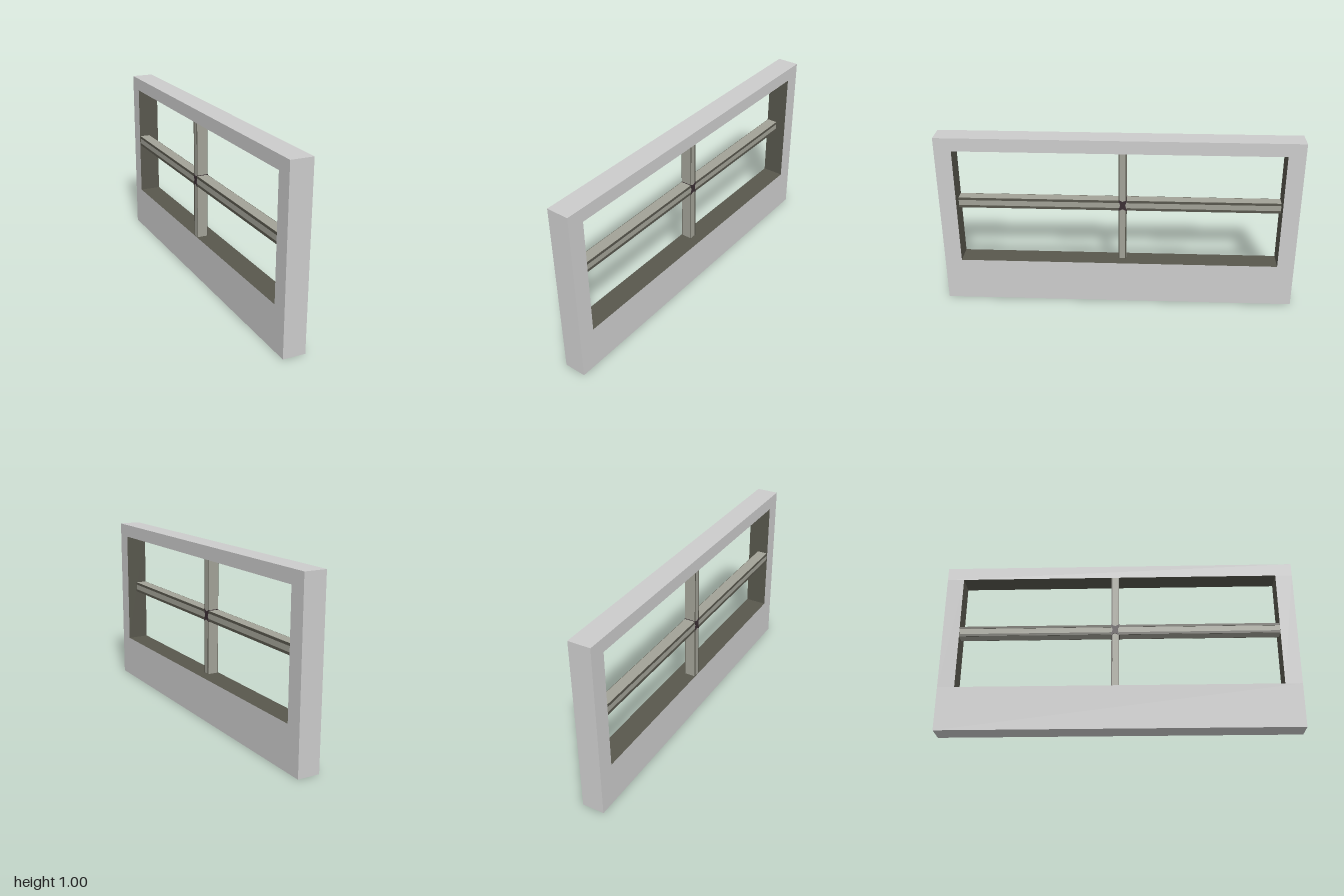
import * as THREE from 'three';

const mat = (name, color) => new THREE.MeshStandardMaterial({ name, color });

export function createModel() {
  const plaster = mat('pale grey wall', 0xcccccc);
  const reveal = mat('dark olive reveal', 0x58574d);
  const barPaint = mat('warm grey bar', 0xa2a297);
  const jointPaint = mat('dark joint', 0x3a2e33);
  const group = new THREE.Group();
  group.name = 'windowWall';

  // Box given by its limits; faces are ordered +x -x +y -y +z -z
  const box = (name, [x0, x1], [y0, y1], [z0, z1], material) => {
    const mesh = new THREE.Mesh(new THREE.BoxGeometry(x1 - x0, y1 - y0, z1 - z0), material);
    mesh.position.set((x0 + x1) / 2, (y0 + y1) / 2, (z0 + z1) / 2);
    mesh.name = name;
    group.add(mesh);
  };
  const faces = (dark) => Array.from({ length: 6 }, (_, i) => (i === dark ? reveal : plaster));

  // Wall around the opening, with the inward faces in the dark reveal colour
  const T = [-0.0625, 0.0625], low = 0.25, high = 0.925, half = 0.905;
  box('sillWall', T, [0, low], [-1, 1], faces(2));
  box('lintel', T, [high, 1], [-1, 1], faces(3));
  box('frontJamb', T, [low, high], [half, 1], faces(5));
  box('backJamb', T, [low, high], [-1, -half], faces(4));

  // Glazing bars, set towards the -x side of the opening
  const X = [-0.058, 0.002], barY = [0.56, 0.62], barZ = [-0.043, 0];
  box('verticalBar', X, [low, high], barZ, barPaint);
  box('horizontalBarFront', X, barY, [barZ[1], half], barPaint);
  box('horizontalBarBack', X, barY, [-half, barZ[0]], barPaint);

  // Thin dark rebates along the bar edges, on both faces
  for (const strip of [[X[1], X[1] + 0.002], [X[0] - 0.002, X[0]]]) {
    for (const y of [[0.56, 0.574], [0.606, 0.62]]) {
      box('horizontalRebate', strip, y, [barZ[1], half], reveal);
      box('horizontalRebate', strip, y, [-half, barZ[0]], reveal);
    }
    for (const z of [[-0.043, -0.037], [-0.003, 0]]) {
      box('verticalRebate', strip, [low, barY[0]], z, reveal);
      box('verticalRebate', strip, [barY[1], high], z, reveal);
    }
  }

  // Cross-shaped joint where the bars meet
  const outline = [[-0.024, -0.034], [0, -0.022], [0.024, -0.034], [0.014, 0],
    [0.024, 0.034], [0, 0.022], [-0.024, 0.034], [-0.014, 0]];
  const shape = new THREE.Shape(outline.map(([u, v]) => new THREE.Vector2(u, v)));
  const depth = 0.066;
  const joint = new THREE.Mesh(
    new THREE.ExtrudeGeometry(shape, { depth, bevelEnabled: false }).translate(0, 0, -depth / 2),
    jointPaint);
  joint.rotation.y = Math.PI / 2;
  joint.position.set(-0.028, 0.59, -0.0215);
  joint.name = 'barJoint';
  group.add(joint);

  return group;
}
